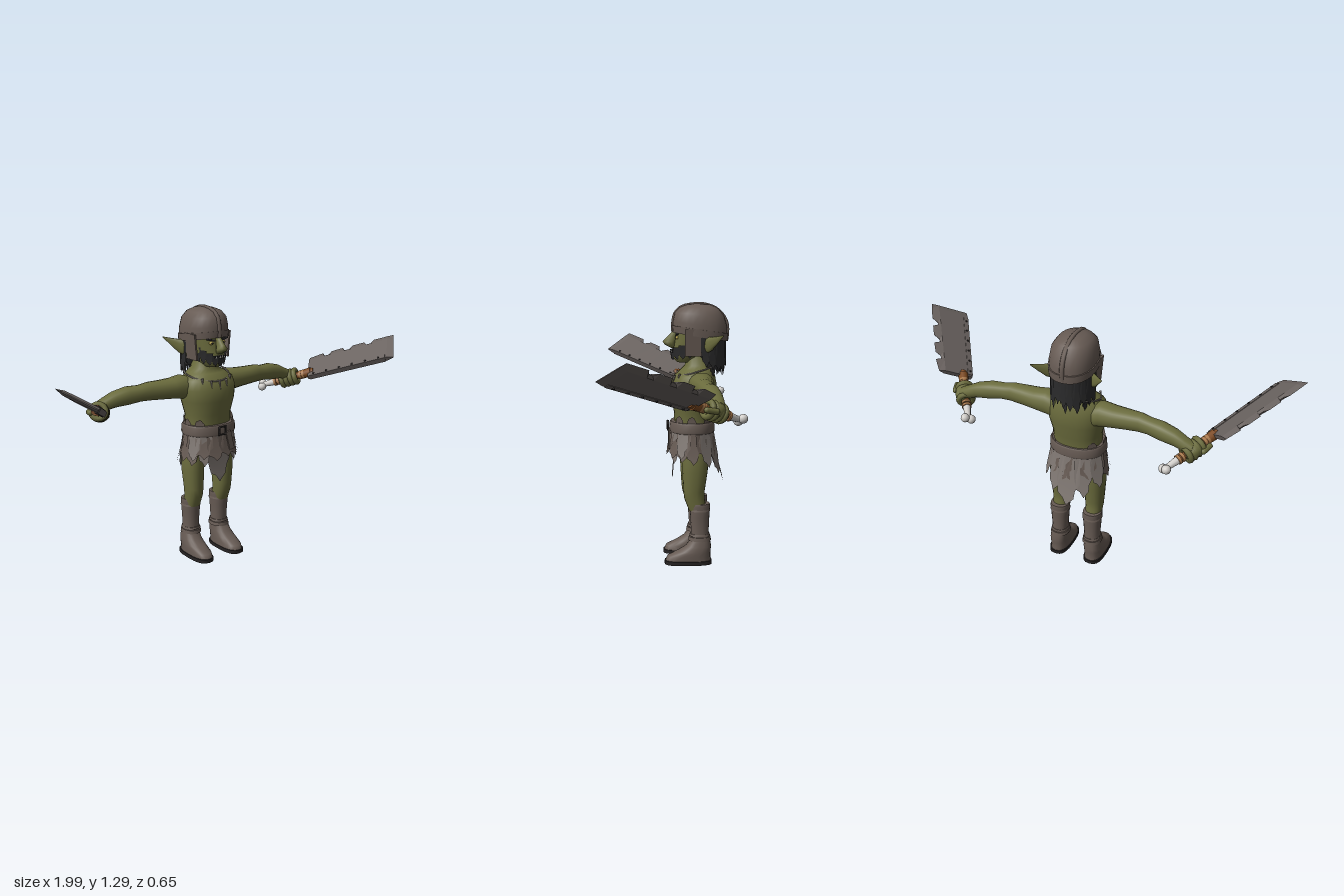
import * as THREE from 'three';

const mat = (name, color, double) => {
  const m = new THREE.MeshStandardMaterial({ color });
  m.name = name;
  if (double) m.side = THREE.DoubleSide;
  return m;
};
const V = (x, y, z) => new THREE.Vector3(x, y, z);

// Closed tube through rings of points, capped at both ends
function skin(rings, flat = false) {
  const n = rings[0].length, pos = [], idx = [];
  rings.forEach(r => r.forEach(p => pos.push(p.x, p.y, p.z)));
  for (let i = 0; i < rings.length - 1; i++) for (let j = 0; j < n; j++) {
    const a = i * n + j, b = i * n + (j + 1) % n;
    idx.push(a, b, b + n, a, b + n, a + n);
  }
  [rings[0], rings[rings.length - 1]].forEach((r, end) => {
    const start = pos.length / 3, c = V(0, 0, 0);
    r.forEach(p => { pos.push(p.x, p.y, p.z); c.addScaledVector(p, 1 / n); });
    pos.push(c.x, c.y, c.z);
    for (let j = 0; j < n; j++) {
      const a = start + j, b = start + (j + 1) % n;
      idx.push(start + n, end ? a : b, end ? b : a);
    }
  });
  let g = new THREE.BufferGeometry();
  g.setAttribute('position', new THREE.Float32BufferAttribute(pos, 3));
  g.setIndex(idx);
  if (flat) g = g.toNonIndexed();
  g.computeVertexNormals();
  return g;
}

// Elliptical loft; rows are [y, cx, cz, rx, rz], or [x, cy, cz, ry, rz] along x
function loft(rows, axis = 'y', n = 18, pow = 0.9) {
  const e = v => Math.sign(v) * Math.abs(v) ** pow;
  return skin(rows.map(([a, c1, c2, r1, r2]) => Array.from({ length: n }, (_, j) => {
    const t = j / n * Math.PI * 2, s = e(Math.sin(t)), c = e(Math.cos(t));
    return axis === 'y' ? V(c1 + r1 * s, a, c2 + r2 * c) : V(a, c1 + r1 * c, c2 + r2 * s);
  })));
}

// Ragged strip hanging on an ellipse [cz, rx, rz]
function flap(deg, y, w, len, flare, [cz, rx, rz]) {
  const pts = [[-1, 0], [0, 0], [1, 0], [0.95, 0.55], [0.6, 0.68], [0.5, 0.85], [0, 1], [-0.35, 0.85], [-0.7, 0.8], [-0.95, 0.5]];
  const g = new THREE.ShapeGeometry(new THREE.Shape(pts.map(p => new THREE.Vector2(p[0] * w, -p[1]))));
  const p = g.attributes.position;
  for (let i = 0; i < p.count; i++) {
    const a = deg * Math.PI / 180 + p.getX(i) / ((rx + rz) / 2), d = -p.getY(i);
    p.setXYZ(i, Math.sin(a) * (rx + flare * d), y - d * len, cz + Math.cos(a) * (rz + flare * d));
  }
  g.computeVertexNormals();
  return g;
}

// Mirrored copy of a part group across x, with corrected winding
function mirror(group) {
  const out = new THREE.Group();
  group.updateMatrixWorld(true);
  group.traverse(o => {
    if (!o.isMesh) return;
    const g = o.geometry.clone().applyMatrix4(o.matrixWorld).applyMatrix4(new THREE.Matrix4().makeScale(-1, 1, 1));
    const id = g.index ? Array.from(g.index.array) : Array.from({ length: g.attributes.position.count }, (_, i) => i);
    for (let i = 0; i < id.length; i += 3) [id[i + 1], id[i + 2]] = [id[i + 2], id[i + 1]];
    g.setIndex(id);
    const m = new THREE.Mesh(g, o.material);
    m.name = o.name;
    out.add(m);
  });
  return out;
}

export function createModel() {
  const skinM = mat('olive skin', 0x6b6c3d), leather = mat('brown leather', 0x675b54, true),
    hide = mat('pale hide', 0x7f7772, true), hair = mat('black hair', 0x2b2b2c, true),
    black = mat('black sole', 0x252222), steel = mat('blade steel', 0x6a6360),
    wood = mat('handle wood', 0x7d4a20), binding = mat('tan binding', 0xa9794c),
    bone = mat('white bone', 0xd2cfcb), eyeM = mat('yellow eye', 0xc9b45a);
  const model = new THREE.Group();
  const add = (parent, name, geo, m, x = 0, y = 0, z = 0) => {
    const mesh = new THREE.Mesh(geo, m);
    mesh.name = name;
    mesh.position.set(x, y, z);
    parent.add(mesh);
    return mesh;
  };
  const box = (x, y, z) => new THREE.BoxGeometry(x, y, z);

  // Torso, neck and head
  add(model, 'torso', loft([[.51, 0, -.12, .07, .06], [.58, 0, -.12, .125, .085], [.7, 0, -.118, .12, .092],
    [.76, 0, -.12, .122, .097], [.83, 0, -.121, .14, .112], [.89, 0, -.122, .148, .114], [.935, 0, -.127, .138, .1],
    [.965, 0, -.138, .1, .08], [.985, 0, -.145, .066, .068], [1.06, 0, -.14, .055, .055]], 'y', 24), skinM);
  add(model, 'head', loft([[1.0, 0, -.09, .035, .05], [1.025, 0, -.095, .058, .08], [1.07, 0, -.12, .074, .1],
    [1.12, 0, -.135, .084, .105], [1.18, 0, -.14, .09, .11]], 'y', 20), skinM);
  add(model, 'nose', loft([[1.07, 0, -.02, .014, .012], [1.085, 0, -.005, .027, .026], [1.1, 0, .0, .024, .032],
    [1.115, 0, -.01, .016, .03], [1.155, 0, -.035, .012, .014]], 'y', 10), skinM);
  add(model, 'mouth', box(.064, .01, .008), black, 0, 1.055, -.016);
  for (let i = -2; i <= 2; i++) add(model, 'tooth', new THREE.ConeGeometry(.005, .016, 5), bone, i * .012, 1.058, -.012);

  // Helmet, tilted back at the rim
  const tilt = g => {
    const p = g.attributes.position;
    for (let i = 0; i < p.count; i++) p.setY(i, p.getY(i) + (p.getZ(i) + .15) * Math.min(1, (1.29 - p.getY(i)) / .15) * .165);
    g.computeVertexNormals();
    return g;
  };
  add(model, 'helmet', tilt(loft([[1.13, 0, -.152, .108, .133], [1.185, 0, -.152, .109, .134], [1.235, 0, -.148, .1, .121],
    [1.265, 0, -.146, .078, .094], [1.28, 0, -.145, .045, .055], [1.285, 0, -.145, .015, .02]], 'y', 24)), leather);
  add(model, 'helmet rim', tilt(loft([[1.126, 0, -.152, .112, .137], [1.162, 0, -.152, .114, .139]], 'y', 24)), leather);
  const ridge = new THREE.CatmullRomCurve3([V(0, 1.15, -.017), V(0, 1.2, -.018), V(0, 1.242, -.03), V(0, 1.27, -.06),
    V(0, 1.284, -.12), V(0, 1.284, -.17), V(0, 1.263, -.23), V(0, 1.226, -.268), V(0, 1.18, -.287), V(0, 1.11, -.285)]);
  add(model, 'helmet ridge', new THREE.TubeGeometry(ridge, 28, .008, 6), leather).scale.x = 1.5;

  // Hair and beard
  const headEll = [-.165, .108, .115];
  add(model, 'hair mass', loft([[.99, 0, -.2, .055, .04], [1.05, 0, -.19, .09, .075], [1.14, 0, -.175, .1, .1]]), hair);
  for (let i = 0; i < 11; i++) {
    add(model, 'hair lock', flap(95 + i * 17, 1.14, .026, .16 + (i * 5 % 4) * .014, 0, headEll), hair);
    add(model, 'under lock', flap(103 + i * 15.4, 1.12, .024, .15 + (i * 3 % 4) * .015, -.012, [-.165, .1, .107]), hair);
  }
  for (let i = -4; i <= 4; i++)
    add(model, 'beard lock', flap(i * 22, 1.05 + Math.abs(i) * .012, .02, .045 + Math.abs(i) * .008, -.008, [-.1, .076, .096]), hair);

  // Necklace with hanging teeth
  const ring = Array.from({ length: 16 }, (_, i) => {
    const t = i / 16 * Math.PI * 2;
    return V(.118 * Math.sin(t), .962 - .03 * Math.cos(t), -.133 + .107 * Math.cos(t));
  });
  add(model, 'necklace', new THREE.TubeGeometry(new THREE.CatmullRomCurve3(ring, true), 40, .004, 5, true), hide);
  for (let i = -2; i <= 2; i++) {
    const t = i * .38;
    const fang = add(model, 'necklace fang', new THREE.ConeGeometry(.007, .045, 5), hide,
      .122 * Math.sin(t), .912 + i * i * .004, -.125 + .113 * Math.cos(t));
    fang.rotation.x = Math.PI - .2;
  }

  // Belt, buckle and ragged skirt
  add(model, 'belt', loft([[.657, 0, -.114, .138, .11], [.665, 0, -.114, .143, .114], [.702, 0, -.114, .14, .111],
    [.71, 0, -.114, .134, .106]], 'y', 24), leather);
  add(model, 'buckle', new THREE.TorusGeometry(.028, .006, 6, 4).rotateZ(Math.PI / 4), black, 0, .684, .006);
  add(model, 'belt tongue', box(.03, .1, .008), leather, .05, .625, .002).rotation.z = .25;
  const waist = [-.114, .134, .105], outer = [-.114, .138, .108];
  for (let i = 0; i < 14; i++)
    add(model, 'skirt strip', flap(i * 360 / 14 + 12, .67, .042, .125 + (i * 5 % 4) * .012, .025, waist), leather);
  add(model, 'front loincloth', flap(0, .665, .072, .255, -.01, outer), hide);
  add(model, 'back loincloth', flap(180, .665, .05, .265, .05, outer), hide);
  for (const s of [-1, 1]) {
    [[38, .035, .16, .012], [62, .03, .13, .025], [122, .034, .17, .035], [152, .038, .215, .04]].forEach(([a, w, l, f]) =>
      add(model, 'skirt flap', flap(s * a, .665, w, l, f, outer), hide));
    [50, 85, 130].forEach(a => add(model, 'waist point', flap(s * a, .7, .025, -.045, .002, waist), leather));
  }

  // Everything paired is built on the left (+x), then mirrored
  const side = new THREE.Group();
  add(side, 'ear', loft([[.078, 1.08, -.16, .042, .022], [.12, 1.095, -.195, .034, .014], [.15, 1.117, -.225, .017, .008],
    [.178, 1.138, -.25, .002, .002]], 'x', 10), skinM);
  add(side, 'eye', new THREE.SphereGeometry(.012, 10, 8).scale(1.2, .7, .6), eyeM, .035, 1.122, -.037);
  add(side, 'pupil', new THREE.SphereGeometry(.005, 8, 6), black, .034, 1.122, -.031);
  add(side, 'brow', box(.045, .01, .014), hair, .038, 1.138, -.037).rotation.z = .25;
  add(side, 'cheek guard', box(.009, .13, .085), leather, .1, 1.1, -.115).rotation.z = -.1;
  add(side, 'arm', loft([[.09, .885, -.145, .06, .06], [.14, .9, -.15, .06, .062], [.2, .9, -.15, .051, .058],
    [.27, .902, -.15, .047, .05], [.33, .904, -.152, .045, .043], [.38, .9, -.157, .04, .04], [.44, .896, -.167, .044, .044],
    [.51, .885, -.177, .038, .04], [.56, .868, -.184, .031, .036], [.6, .85, -.185, .03, .034]], 'x', 16), skinM);
  add(side, 'leg', loft([[.27, .09, -.14, .04, .045], [.33, .09, -.122, .044, .05], [.37, .09, -.12, .047, .053],
    [.47, .092, -.124, .053, .063], [.56, .088, -.125, .055, .067], [.64, .075, -.12, .052, .065]]), skinM);
  add(side, 'boot shaft', loft([[.11, .092, -.15, .045, .048], [.17, .09, -.15, .04, .044], [.24, .09, -.149, .045, .048],
    [.295, .09, -.149, .049, .051], [.307, .09, -.149, .047, .049]]), leather);
  [[.12, .05, .057, .018], [.143, .046, .052, .01], [.27, .05, .052, .012]].forEach(([y, rx, rz, h]) =>
    add(side, 'boot strap', loft([[y, .09, -.149, rx, rz], [y + h, .09, -.149, rx - .003, rz - .003]]), leather));
  add(side, 'boot foot', loft([[.018, .096, -.092, .05, .114], [.04, .096, -.095, .05, .108], [.065, .096, -.122, .049, .082],
    [.09, .095, -.143, .046, .063], [.125, .093, -.152, .042, .048]], 'y', 20, .8), leather);
  add(side, 'sole', loft([[0, .097, -.092, .053, .118], [.019, .097, -.092, .053, .118]], 'y', 20, .7), black);

  // Cleaver: local y runs from pommel to tip, local x towards the cutting edge
  const cleaver = new THREE.Group();
  const d = V(.538, .32, .78).normalize(), w = V(.648, .427, -.628);
  w.addScaledVector(d, -w.dot(d)).normalize();
  cleaver.quaternion.setFromRotationMatrix(new THREE.Matrix4().makeBasis(w, d, w.clone().cross(d)));
  cleaver.position.set(.51, .79, -.29);
  side.add(cleaver);
  const cols = [[.265, .13], [.34, .142], [.352, .112], [.375, .115], [.39, .14], [.455, .142], [.467, .11], [.49, .112],
    [.51, .14], [.575, .14], [.59, .112], [.61, .112], [.63, .14], [.705, .138], [.738, .136]];
  add(cleaver, 'blade', skin(cols.map(([t, e], i) => {
    const h = i === cols.length - 1 ? .002 : .011, lo = -.045 - (t - .265) * .035;
    return [V(.1, t, h), V(e, t, 0), V(.1, t, -h), V(lo, t, -h), V(lo, t, h)];
  }), true), steel);
  add(cleaver, 'blade spine', box(.026, .42, .027), steel, -.042, .485, 0).rotation.z = .035;
  for (let i = 0; i < 6; i++)
    add(cleaver, 'rivet', new THREE.CylinderGeometry(.006, .006, .034, 8).rotateX(Math.PI / 2), black, -.036 - i * .0025, .3 + i * .072, 0);
  add(cleaver, 'handle', new THREE.CylinderGeometry(.019, .017, .23, 10), wood, 0, .18, 0);
  add(cleaver, 'handle collar', new THREE.CylinderGeometry(.026, .022, .06, 10), wood, 0, .25, 0);
  [.07, .09, .218, .235].forEach(t => add(cleaver, 'binding', new THREE.CylinderGeometry(.024, .024, .013, 10), binding, 0, t, 0));
  add(cleaver, 'bone shaft', new THREE.CylinderGeometry(.02, .013, .07, 10), bone, 0, .035, 0);
  for (const s of [-1, 1]) add(cleaver, 'bone knob', new THREE.SphereGeometry(.022, 10, 8), bone, s * .016, -.008, 0);

  // Fist around the handle
  add(cleaver, 'palm', new THREE.SphereGeometry(.042, 14, 10).scale(1, 1.15, .95), skinM, .008, .15, 0);
  for (let i = 0; i < 4; i++)
    add(cleaver, 'finger', new THREE.TorusGeometry(.034, .0145, 8, 16).rotateX(Math.PI / 2), skinM, 0, .115 + i * .025, 0);
  const thumb = add(cleaver, 'thumb', new THREE.CapsuleGeometry(.014, .045, 4, 8), skinM, .034, .2, .022);
  thumb.rotation.z = .3;

  side.name = 'left side';
  const other = mirror(side);
  other.name = 'right side';
  model.add(side, other);
  model.name = 'goblin warrior';
  return model;
}
